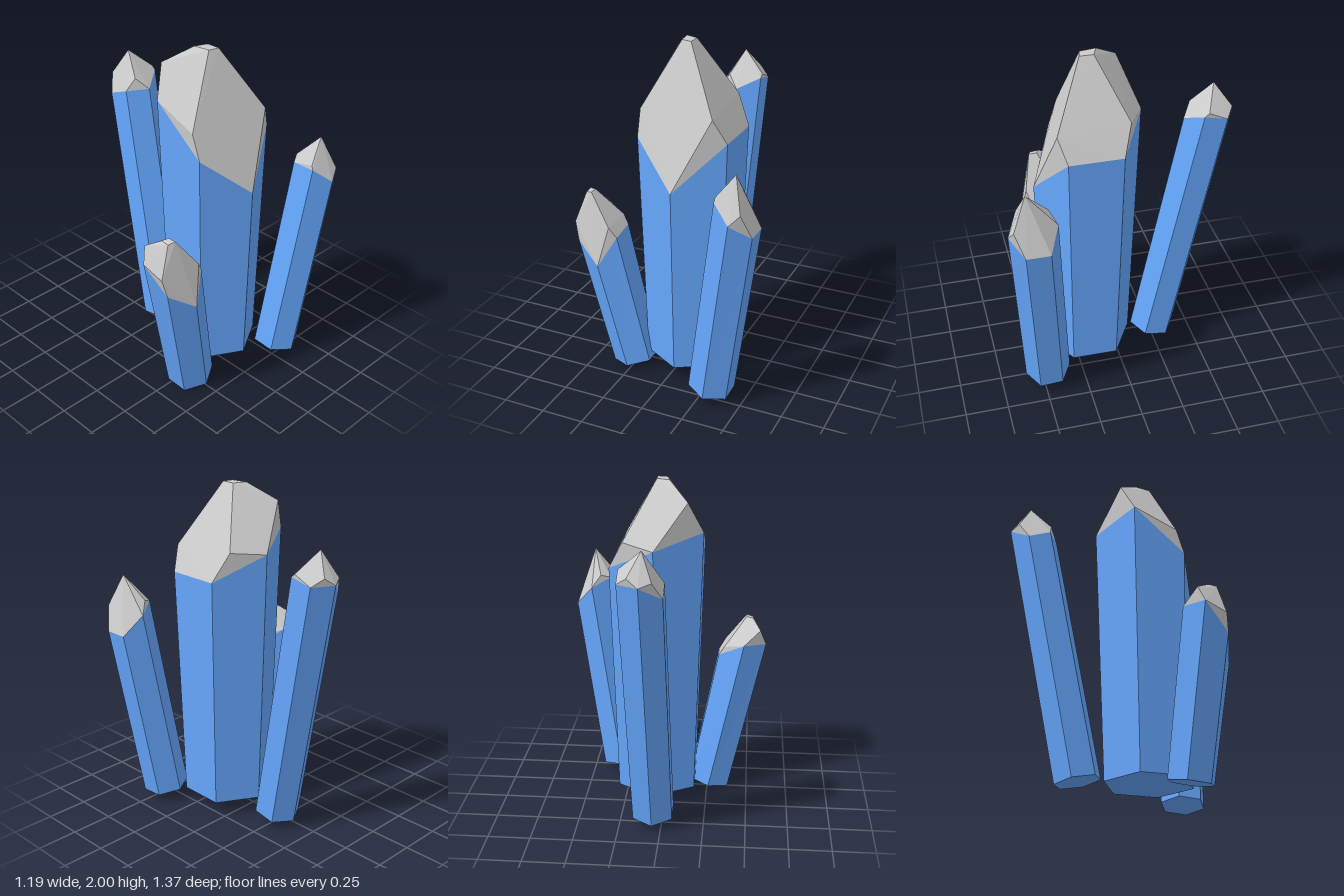
import * as THREE from 'three';
import { ConvexGeometry } from 'three/addons/geometries/ConvexGeometry.js';

const V = (x, y, z) => new THREE.Vector3(x, y, z);
const { lerp } = THREE.MathUtils;
const blue = new THREE.MeshStandardMaterial({ color: 0x66a8ff, flatShading: true });
const grey = new THREE.MeshStandardMaterial({ color: 0xcccccc, flatShading: true });

// Point on the unit hexagon; u counts corners from the back, fractions lie on a side
function hexagon(u) {
  const corner = i => V(-Math.sin(i * Math.PI / 3), 0, -Math.cos(i * Math.PI / 3));
  const i = Math.floor(u);
  return corner(i).lerp(corner(i + 1), u - i);
}

// Closed-bottom six-sided shaft between two rings
function shaftGeometry(base, shoulder) {
  const points = [];
  base.forEach((p, i) => {
    const j = (i + 1) % 6;
    points.push(p, base[j], shoulder[j], p, shoulder[j], shoulder[i]);
    if (i > 0 && i < 5) points.push(base[0], base[j], p);
  });
  const geometry = new THREE.BufferGeometry().setFromPoints(points);
  geometry.computeVertexNormals();
  return geometry;
}

// One leaning crystal: blue shaft cut at uneven heights, with a faceted grey point
function crystal({ name, foot, footRadius, neck, neckRadius, heights, cuts, apex }) {
  const lean = neck.clone().sub(foot);
  const onSide = (u, y) => {
    const t = (y - foot.y) / lean.y;
    const centre = foot.clone().addScaledVector(lean, t);
    return centre.addScaledVector(hexagon(u), lerp(footRadius, neckRadius, t));
  };
  // The bottom is cut square to the leaning axis
  const base = heights.map((_, i) => {
    const d = hexagon(i).multiplyScalar(footRadius);
    d.y = -d.dot(lean) / lean.y;
    return d.add(foot);
  });
  const shoulder = heights.map((y, i) => onSide(i, y));

  const shaft = new THREE.Mesh(shaftGeometry(base, shoulder), blue);
  shaft.name = name + 'Shaft';
  const facets = cuts.map(([u, y]) => onSide(u, y));
  const point = new THREE.Mesh(new ConvexGeometry([...shoulder, ...facets, ...apex]), grey);
  point.name = name + 'Point';

  const group = new THREE.Group();
  group.name = name;
  group.add(shaft, point);
  return group;
}

// heights: where each shaft edge ends; cuts: facet corners on the sides (u, y)
const mainCrystal = {
  name: 'mainCrystal',
  foot: V(0.055, 0.09, 0.17), footRadius: 0.267,
  neck: V(0.055, 1.5, 0.157), neckRadius: 0.312,
  heights: [1.64, 1.72, 1.46, 1.22, 1.5, 1.5],
  cuts: [[0.67, 1.9], [1.84, 1.61], [3.73, 1.64], [5.33, 1.665]],
  apex: [V(-0.02, 2, 0.075), V(0.055, 2, 0.105), V(0.055, 2, 0.185), V(-0.005, 2, 0.17)],
};
const leftCrystal = {
  name: 'leftCrystal',
  foot: V(0.31, 0.065, 0.47), footRadius: 0.134,
  neck: V(0.487, 1.23, 0.546), neckRadius: 0.138,
  heights: [1.25, 1.3, 1.3, 1.21, 1.13, 1.13],
  cuts: [[0.53, 1.32], [1.9, 1.325], [3.41, 1.27]],
  apex: [V(0.485, 1.46, 0.58)],
};
const rightCrystal = {
  name: 'rightCrystal',
  foot: V(-0.26, 0.025, 0.295), footRadius: 0.136,
  neck: V(-0.437, 0.85, 0.345), neckRadius: 0.155,
  heights: [0.97, 0.96, 0.8, 0.69, 0.865, 0.885],
  cuts: [[0.58, 1.055], [1.85, 0.91], [3.8, 0.93], [5.17, 0.94]],
  apex: [V(-0.515, 1.105, 0.33), V(-0.475, 1.11, 0.345), V(-0.475, 1.11, 0.395), V(-0.515, 1.1, 0.38)],
};
const backCrystal = {
  name: 'backCrystal',
  foot: V(0.05, 0.067, -0.25), footRadius: 0.134,
  neck: V(0.084, 1.58, -0.545), neckRadius: 0.14,
  heights: [1.59, 1.51, 1.56, 1.56, 1.62, 1.59],
  cuts: [[0.57, 1.61], [2.46, 1.63], [4.15, 1.64], [5.5, 1.635]],
  apex: [V(0.075, 1.76, -0.57)],
};

export function createModel() {
  const model = new THREE.Group();
  model.name = 'crystalCluster';
  model.add(...[mainCrystal, leftCrystal, rightCrystal, backCrystal].map(crystal));
  return model;
}
